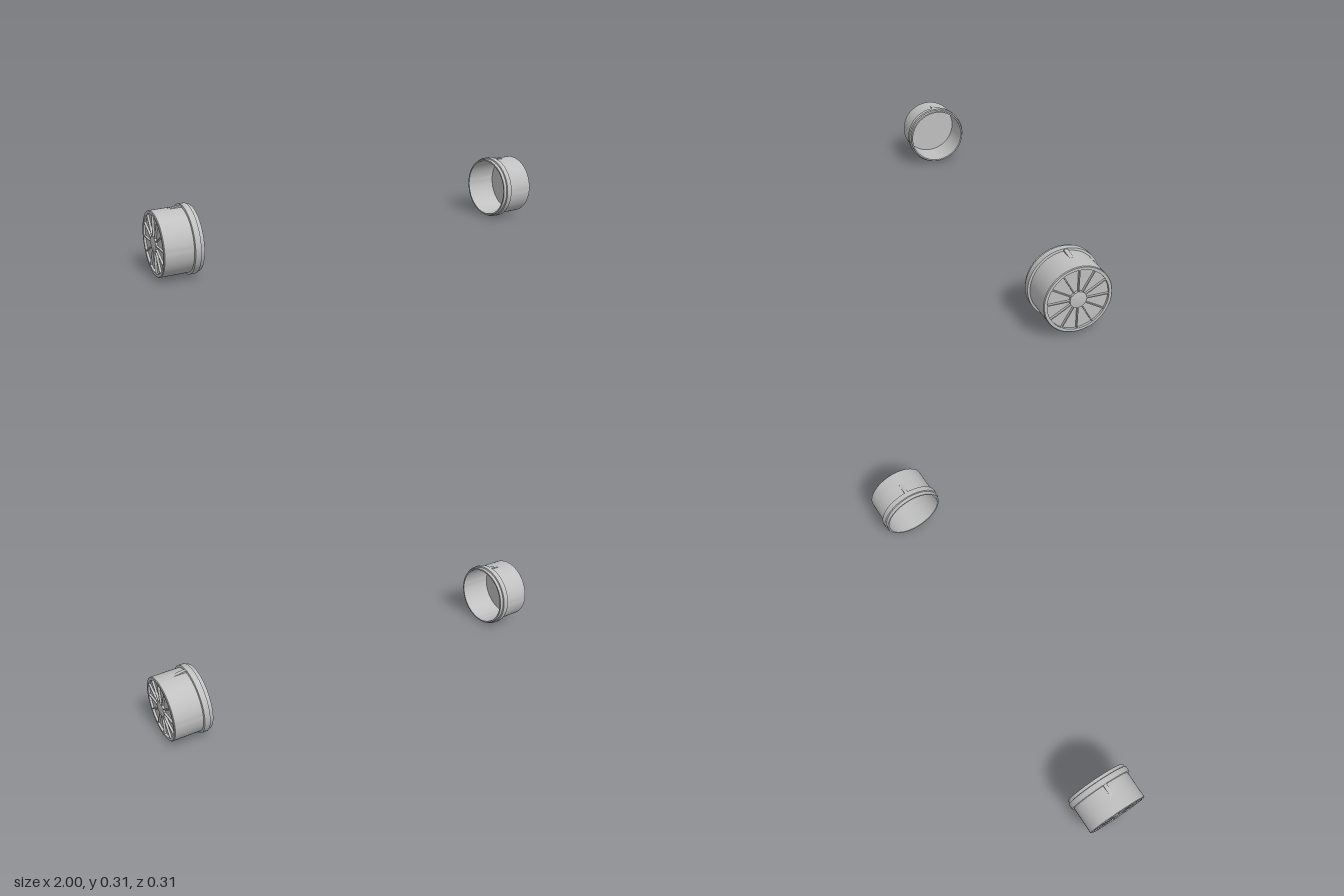
import * as THREE from 'three';
import { toCreasedNormals } from 'three/addons/utils/BufferGeometryUtils.js';

const grey = new THREE.MeshStandardMaterial({ color: 0xc0c0c0 });
grey.name = 'light grey';

// Turn an [x, radius] profile about the x axis
function turned(name, profile) {
  const lathe = new THREE.LatheGeometry(profile.map(([x, r]) => new THREE.Vector2(r, x)), 96);
  lathe.rotateZ(-Math.PI / 2);
  const mesh = new THREE.Mesh(toCreasedNormals(lathe, 0.5), grey);
  mesh.name = name;
  return mesh;
}

// One hollow end cap, open towards the centre and spoked on its outer end
function createCap(name) {
  const cap = new THREE.Group();
  cap.name = name;

  // Shell: open lip, collar, straight wall, end ring, recessed floor, then the inside
  cap.add(turned('shell', [
    [0.82, 0.142], [0.82, 0.149], [0.823, 0.151], [0.835, 0.151],
    [0.837, 0.157], [0.863, 0.157], [0.865, 0.1475], [0.994, 0.147],
    [0.997, 0.144], [0.997, 0.132], [0.987, 0.132], [0.987, 0],
  ]));
  cap.add(turned('lining', [[0.98, 0], [0.98, 0.142], [0.82, 0.142]]));

  // Slightly domed hub
  cap.add(turned('hub', [[0.985, 0.0355], [0.997, 0.0355], [0.9985, 0.024], [0.9997, 0.012], [1, 0]]));

  // Twelve thin radial ribs
  for (let i = 0; i < 12; i++) {
    const rib = new THREE.Mesh(new THREE.BoxGeometry(0.01, 0.099, 0.0045), grey);
    rib.geometry.translate(0.9915, 0.083, 0);
    rib.rotation.x = i * Math.PI / 6;
    rib.name = 'rib';
    cap.add(rib);
  }

  // Sloping catch behind the collar
  const wedge = new THREE.Shape();
  wedge.moveTo(0.86, 0.144);
  wedge.lineTo(0.92, 0.144);
  wedge.lineTo(0.92, 0.1475);
  wedge.lineTo(0.875, 0.154);
  wedge.lineTo(0.86, 0.154);
  const catchGeo = new THREE.ExtrudeGeometry(wedge, { depth: 0.018, bevelEnabled: false });
  catchGeo.translate(0, 0, -0.009);
  const latch = new THREE.Mesh(catchGeo, grey);
  latch.name = 'catch';
  cap.add(latch);

  cap.position.y = 0.157;
  return cap;
}

export function createModel() {
  const model = new THREE.Group();
  model.name = 'endCapPair';
  const right = createCap('rightCap');
  right.rotation.y = Math.PI;
  model.add(createCap('leftCap'), right);
  return model;
}
